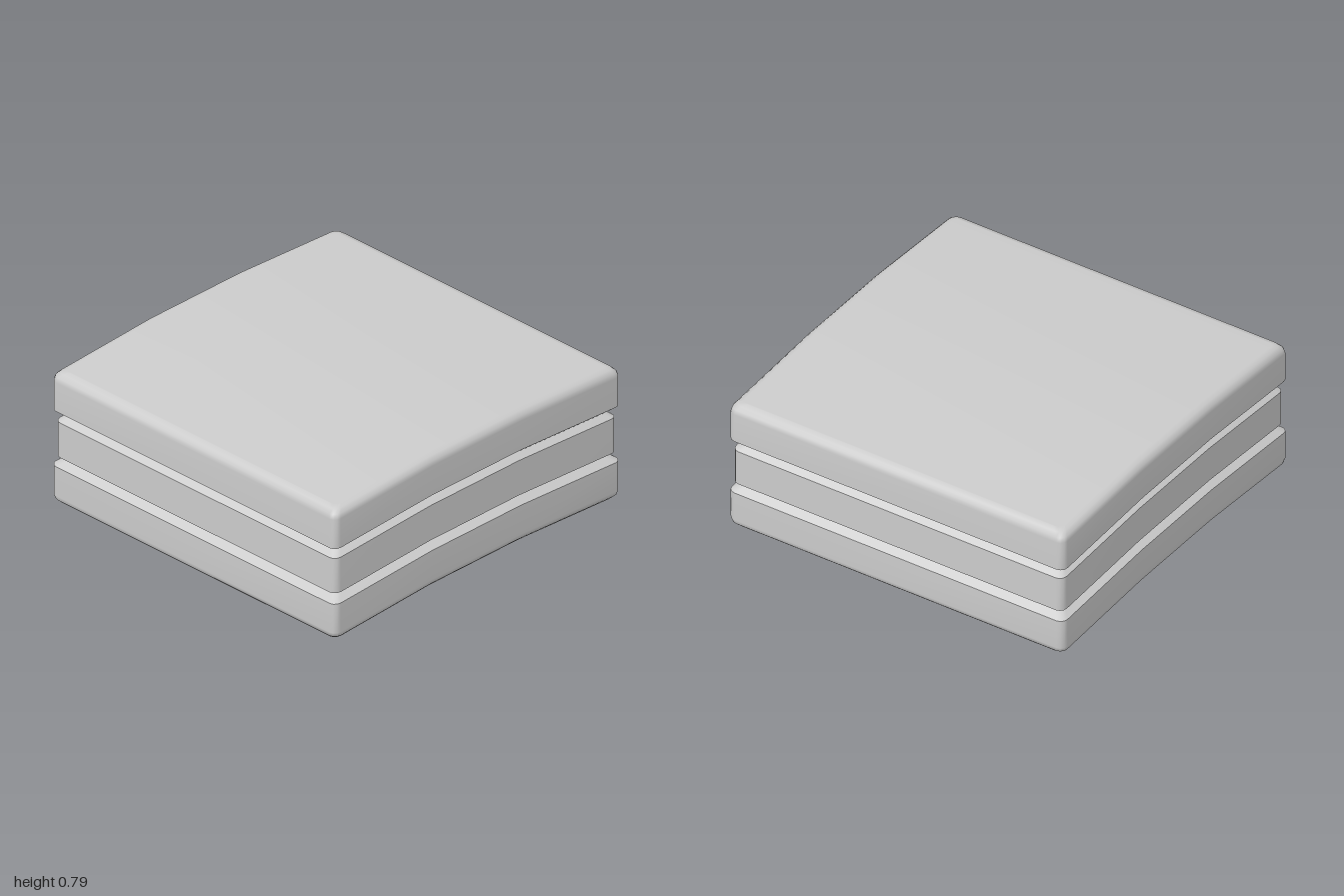
import * as THREE from 'three';
import { mergeGeometries } from 'three/addons/utils/BufferGeometryUtils.js';

// Gentle arch along x: [x, lift]
const ARCH = [[-1, 0], [-0.32, 0.045], [0.3, 0.053], [1, 0.027]];
function lift(x) {
  let i = 0;
  while (i < ARCH.length - 2 && x > ARCH[i + 1][0]) i++;
  const [x0, y0] = ARCH[i], [x1, y1] = ARCH[i + 1];
  return y0 + (y1 - y0) * (x - x0) / (x1 - x0);
}

// Rounded square outline, counter-clockwise from above: front half, then back half
function outline(inset) {
  const h = 1 - inset, r = 0.04, steps = 3, left = [], right = [];
  for (let i = 0; i <= steps; i++) {
    const a = (i / steps) * Math.PI / 2;
    left.push([-h + r - r * Math.cos(a), h - r + r * Math.sin(a)]);
    right.unshift([h - r + r * Math.cos(a), h - r + r * Math.sin(a)]);
  }
  const front = [...left, [ARCH[1][0], h], [ARCH[2][0], h], ...right];
  const back = front.map(([x, z]) => [x, -z]).reverse();
  return [...front, ...back];
}

// Smooth skin through a profile of [inset, y], optionally capped at either end
function skin(profile, capBottom = false, capTop = false) {
  const pos = [], index = [];
  let n = 0;
  for (const [inset, y] of profile) {
    const ring = outline(inset);
    n = ring.length;
    for (const [x, z] of ring) pos.push(x, y + lift(x), z);
  }
  for (let k = 0; k < profile.length - 1; k++) {
    for (let i = 0; i < n; i++) {
      const j = (i + 1) % n, a = k * n, b = a + n;
      index.push(a + i, a + j, b + j, a + i, b + j, b + i);
    }
  }
  const cap = (o, up) => {
    for (let i = 0; i < n / 2 - 1; i++) {
      const f0 = o + i, f1 = f0 + 1, b0 = o + n - 1 - i, b1 = b0 - 1;
      if (up) index.push(f0, f1, b1, f0, b1, b0);
      else index.push(f0, b1, f1, f0, b0, b1);
    }
  };
  if (capBottom) cap(0, false);
  if (capTop) cap((profile.length - 1) * n, true);
  const g = new THREE.BufferGeometry();
  g.setAttribute('position', new THREE.Float32BufferAttribute(pos, 3));
  g.setIndex(index);
  g.computeVertexNormals();
  return g;
}

// Quarter-round edge from the flat face out to the wall
function roundEdge(faceY, wallY) {
  return [0, 1, 2, 3].map((i) => {
    const a = (i / 3) * Math.PI / 2;
    return [0.05 * (1 - Math.sin(a)), wallY + (faceY - wallY) * Math.cos(a)];
  });
}

export function createModel() {
  const group = new THREE.Group();
  const material = new THREE.MeshStandardMaterial({ color: 0xcccccc });
  const add = (name, parts) => {
    const mesh = new THREE.Mesh(mergeGeometries(parts), material);
    mesh.name = name;
    group.add(mesh);
  };

  // Bottom layer, with a chamfer running into the lower groove
  add('lowerSlab', [
    skin([...roundEdge(0, 0.05), [0, 0.215]], true),
    skin([[0, 0.215], [0.05, 0.25]]),
  ]);

  // Slightly narrower middle layer between the two grooves
  add('middleSlab', [
    skin([[0.05, 0.25], [0.015, 0.265]]),
    skin([[0.015, 0.265], [0.015, 0.463]]),
    skin([[0.015, 0.463], [0.05, 0.49]]),
  ]);

  // Top layer, undercut towards the upper groove
  add('upperSlab', [
    skin([[0.05, 0.49], [0, 0.53]]),
    skin([[0, 0.53], ...roundEdge(0.745, 0.695).reverse()], false, true),
  ]);

  return group;
}
